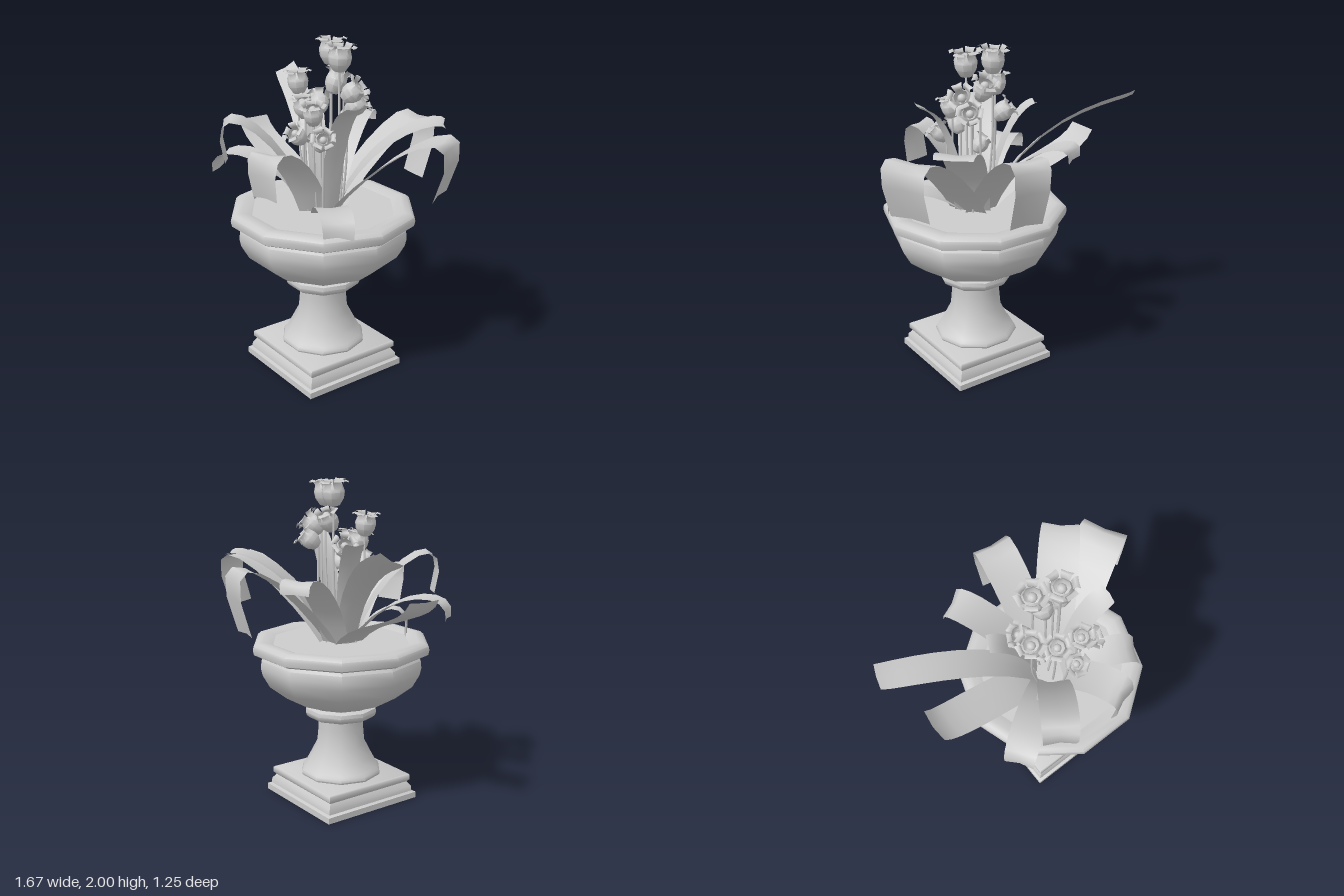
import * as THREE from 'three';
import { toCreasedNormals } from 'three/addons/utils/BufferGeometryUtils.js';

const CX = 0.083, CZ = 0.083; // axis of the urn
const UP = new THREE.Vector3(0, 1, 0);
const grey = new THREE.MeshStandardMaterial({ color: 0xcccccc });
const thin = new THREE.MeshStandardMaterial({ color: 0xcccccc, side: THREE.DoubleSide });

function add(parent, name, geometry, material = grey) {
  const mesh = new THREE.Mesh(geometry, material);
  mesh.name = name;
  parent.add(mesh);
  return mesh;
}

function group(parent, name) {
  const g = new THREE.Group();
  g.name = name;
  parent.add(g);
  return g;
}

// Turned profile of [radius, height] pairs, listed from the bottom up
function turned(profile, sides = 10, phase = Math.PI / 2, scale = 1) {
  const pts = profile.map(([r, y]) => new THREE.Vector2(r * scale, y));
  return toCreasedNormals(new THREE.LatheGeometry(pts, sides, phase), 0.8);
}

// Strip along a path; the cross-section is a shallow V spread along sideAt(t)
function ribbon(path, sideAt, widthAt, fold, steps) {
  const pos = [], index = [];
  for (let i = 0; i <= steps; i++) {
    const t = i / steps, p = path.getPoint(t), w = widthAt(t) / 2, side = sideAt(t);
    const n = new THREE.Vector3().crossVectors(path.getTangent(t), side).normalize();
    for (const k of [-1, 0, 1]) {
      const q = p.clone().addScaledVector(side, k * w);
      if (k === 0) q.addScaledVector(n, fold);
      pos.push(q.x, q.y, q.z);
    }
    if (i < steps) for (const k of [0, 1]) {
      const a = i * 3 + k;
      index.push(a, a + 1, a + 3, a + 1, a + 4, a + 3);
    }
  }
  const geo = new THREE.BufferGeometry();
  geo.setAttribute('position', new THREE.Float32BufferAttribute(pos, 3));
  geo.setIndex(index);
  geo.computeVertexNormals();
  return geo;
}

// Leaf arching from the soil to a tip at (x, z); the more it droops, the further it bulges.
// Roll tips the blade sideways, twist turns its foot about the vertical.
function leaf(parent, x, z, width, rise, crest, tip, roll = 0, twist = 0) {
  const out = new THREE.Vector3(x - CX, 0, z - CZ);
  const start = 0.07, reach = out.length() - start;
  out.normalize();
  const side = new THREE.Vector3(-out.z, Math.tan(roll), out.x).normalize();
  const at = (t, y) => new THREE.Vector3(CX, y, CZ).addScaledVector(out, start + reach * t);
  const bulge = 0.9 + 0.8 * Math.max(0, crest - tip);
  const path = new THREE.CubicBezierCurve3(at(0, 1), at(0.3, rise), at(bulge, crest), at(1, tip));
  const sideAt = t => side.clone().applyAxisAngle(UP, twist * (1 - t));
  const taper = t => width * (0.88 + 0.12 * Math.sin(Math.PI * t));
  add(parent, 'leaf', ribbon(path, sideAt, taper, 0.012, 9), thin);
}

// Cup-shaped bloom with a flared crown of petals and a round centre, nodding outwards by tilt
function flower(parent, x, y, z, tilt) {
  const size = 0.75 + 0.55 * (y - 1.4);
  const g = group(parent, 'flower');
  const bloom = group(g, 'bloom');
  bloom.position.set(x, y, z);
  bloom.scale.setScalar(size);
  bloom.quaternion.setFromAxisAngle(new THREE.Vector3(z - CZ, 0, CX - x).normalize(), tilt);
  add(bloom, 'cup', turned([[0, -0.075], [0.035, -0.065], [0.06, -0.025],
    [0.066, 0.01], [0.058, 0.04], [0.047, 0.058]], 8, 0), thin);
  add(bloom, 'flowerCentre', new THREE.SphereGeometry(0.028, 8, 6)).position.y = 0.035;
  for (let i = 0; i < 6; i++) {
    const a = i * Math.PI / 3 + x * 9;
    const dir = new THREE.Vector3(Math.cos(a), 0, Math.sin(a));
    const side = new THREE.Vector3(-dir.z, 0, dir.x);
    const path = new THREE.CatmullRomCurve3([[0.062, 0.015], [0.05, 0.05], [0.066, 0.075], [0.088, 0.066]]
      .map(([r, h]) => dir.clone().multiplyScalar(r).setY(h + (i % 2) * 0.008)));
    add(bloom, 'petal', ribbon(path, () => side, t => 0.04 + 0.03 * t, 0.004, 3), thin);
  }
  const foot = new THREE.Vector3(CX + (x - CX) * 0.6, 1, CZ + (z - CZ) * 0.6);
  const top = new THREE.Vector3(0, -0.07 * size, 0).applyQuaternion(bloom.quaternion).add(bloom.position);
  const bend = new THREE.Vector3(top.x, (1 + y) / 2, top.z);
  add(g, 'stem', new THREE.TubeGeometry(new THREE.CatmullRomCurve3([foot, bend, top]), 6, 0.007, 5));
}

export function createModel() {
  const model = new THREE.Group();
  model.name = 'planter';

  // Urn: square hollow plinth, waisted column, ring, bowl and rolled rim
  const urn = group(model, 'urn');
  urn.position.set(CX, 0, CZ);
  add(urn, 'plinth', turned([[0.27, 0.03], [0.28, 0], [0.34, 0], [0.34, 0.037], [0.321, 0.045],
    [0.318, 0.075], [0.298, 0.105], [0.312, 0.12], [0.312, 0.15], [0.305, 0.157], [0, 0.157]],
    4, Math.PI / 4, Math.SQRT2), thin);
  add(urn, 'column', turned([[0.25, 0.155], [0.257, 0.168], [0.25, 0.188], [0.235, 0.2],
    [0.2, 0.265], [0.157, 0.35], [0.147, 0.46], [0.146, 0.53]]));
  add(urn, 'ring', turned([[0.14, 0.53], [0.205, 0.533], [0.222, 0.548], [0.23, 0.57],
    [0.225, 0.592], [0.19, 0.605]]));
  add(urn, 'bowl', turned([[0.18, 0.598], [0.24, 0.625], [0.35, 0.668], [0.455, 0.75],
    [0.5, 0.83], [0.51, 0.875], [0.505, 0.92], [0.475, 0.955]]));
  add(urn, 'rim', turned([[0.46, 0.945], [0.525, 0.947], [0.55, 0.96], [0.557, 0.99],
    [0.552, 1.012], [0.53, 1.03], [0.49, 1.034], [0.43, 1.015]]));
  add(urn, 'soil', turned([[0.44, 1.015], [0, 1.017]]));

  // Leaves: tip x, tip z, width, heights of rise, crest and tip, then roll and twist
  const leaves = group(model, 'leaves');
  [
    [-0.82, -0.27, 0.16, 1.6, 1.6, 1.655, 0.5],
    [-0.715, 0.05, 0.23, 1.22, 1.22, 1.385],
    [-0.46, 0.47, 0.19, 1.36, 1.4, 1.19],
    [-0.23, 0.545, 0.21, 1.5, 1.8, 1.32],
    [-0.2, 0.37, 0.12, 1.25, 1.33, 1.06],
    [0.2, 0.56, 0.2, 1.37, 1.7, 1.2, 0, 0.8],
    [0.55, 0.32, 0.19, 1.15, 1.22, 1],
    [0.55, -0.43, 0.24, 1.5, 1.6, 1.545],
    [0.715, -0.25, 0.28, 1.3, 1.88, 1.19],
    [0.165, -0.55, 0.23, 1.3, 1.9, 1.12],
    [-0.23, -0.465, 0.2, 1.4, 1.6, 1.4],
    [0.43, 0.12, 0.14, 1.7, 1.65, 1.69],
    [-0.25, -0.06, 0.12, 1.6, 1.65, 1.65],
  ].forEach(spec => leaf(leaves, ...spec));

  // Flowers: position of each bloom and its outward tilt
  const flowers = group(model, 'flowers');
  [
    [0.02, 1.914, -0.02, 0.05], [0.17, 1.904, 0.03, 0.05], [-0.1, 1.735, 0.125, 0.1],
    [0.08, 1.75, -0.01, 0.5], [0.22, 1.715, -0.02, 0.9], [0.03, 1.62, 0.18, 0.2],
    [0.165, 1.61, 0.21, 0.2], [-0.06, 1.6, 0, 0.9], [0.2, 1.63, -0.06, 0.9],
    [0.245, 1.47, 0.2, 0.8], [0.045, 1.395, 0.08, 0.8], [0.09, 1.48, 0.26, 0.8],
  ].forEach(spot => flower(flowers, ...spot));

  return model;
}
